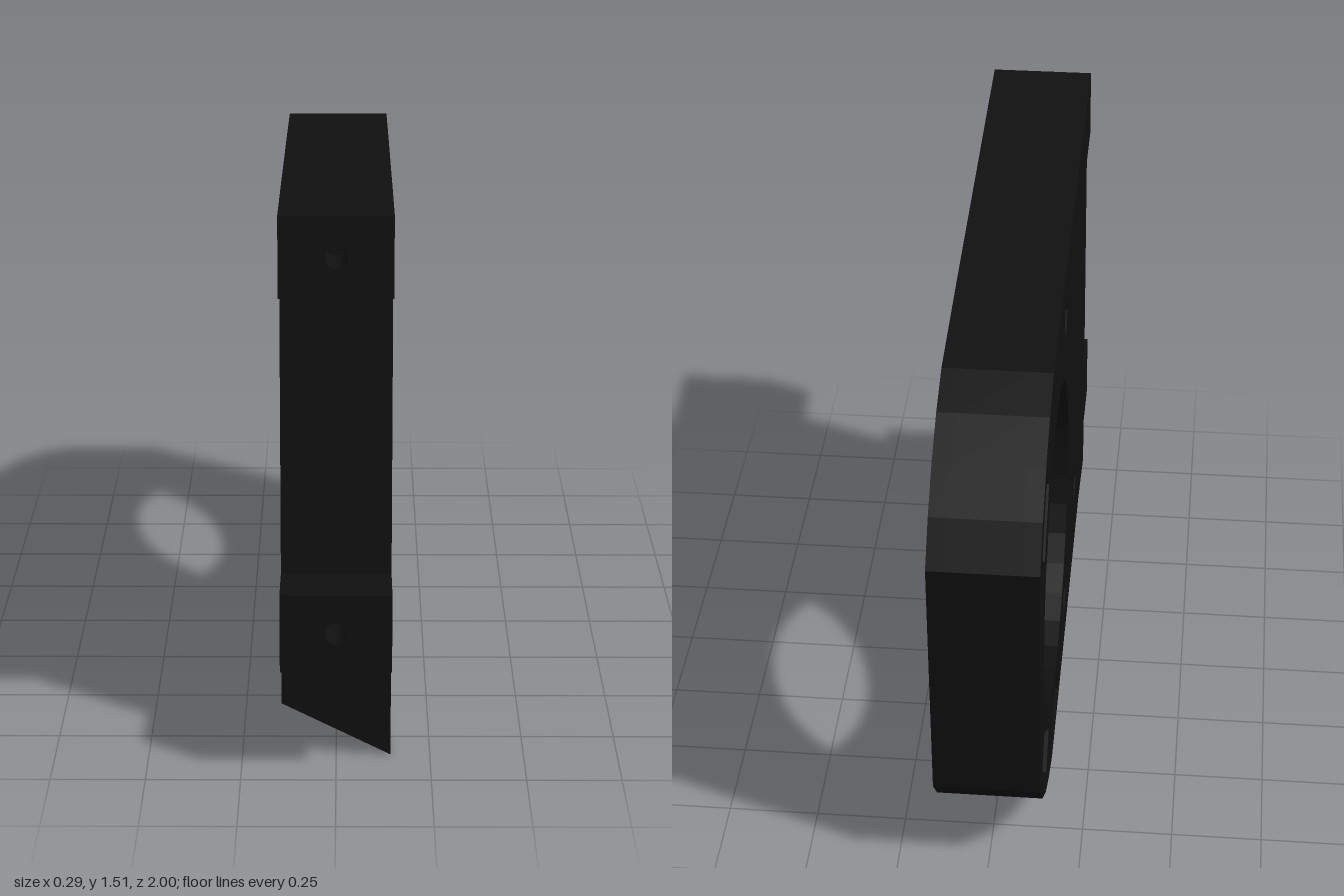
import * as THREE from 'three';

const HALF = 0.145; // half thickness
const TILT = -0.07; // lean of the front tabs

// Side outline as [z, y]
const outline = [
  [0.855, 0.003], [0.435, 0.055], [-0.24, 0.003], [-0.5, 0.045], [-0.62, 0.075], [-0.74, 0.125],
  [-0.86, 0.21], [-0.945, 0.31], [-1.0, 1.08], [-0.92, 1.19], [-0.82, 1.285], [-0.7, 1.36],
  [-0.57, 1.41], [-0.2, 1.44], [0.755, 1.504], [0.825, 0.51], [0.84, 0.305],
];
// The first three corners rise to these on the -x side, slanting the underside
const raised = [[0.848, 0.15], [0.63, 0.165], [-0.25, 0.07]];

// Rectangular slots through the plate
const slots = [
  [[-0.71, 1.16], [-0.8, 1.235], [-0.925, 1.075], [-0.84, 1.005]],
  [[-0.65, 0.28], [-0.805, 0.4], [-0.88, 0.31], [-0.725, 0.185]],
  [[-0.27, 0.22], [-0.475, 0.21], [-0.47, 0.09], [-0.265, 0.105]],
];
const bolts = [[-0.11, 1.28], [0.39, 0.365], [-0.04, 0.255]];

const polygon = (pts) => pts.map(([z, y]) => new THREE.Vector2(-z, y));

// Regular polygon hole around a [z, y] centre
function round([z, y], r, sides) {
  const pts = [];
  for (let i = 0; i < sides; i++) {
    const a = (i / sides) * Math.PI * 2;
    pts.push([z + r * Math.cos(a), y + r * Math.sin(a)]);
  }
  return pts;
}

// One slice of the plate between two x positions
function plateLayer(x0, x1, holes) {
  const shape = new THREE.Shape(polygon(outline));
  for (const h of [...slots, ...holes]) shape.holes.push(new THREE.Path(polygon(h)));
  const geo = new THREE.ExtrudeGeometry(shape, { depth: x1 - x0, bevelEnabled: false });
  geo.rotateY(Math.PI / 2).translate(x0, 0, 0);
  const p = geo.attributes.position;
  for (let i = 0; i < p.count; i++) {
    const t = (HALF - p.getX(i)) / (2 * HALF);
    raised.forEach(([rz, ry], k) => {
      const [z, y] = outline[k];
      if (Math.hypot(p.getZ(i) - z, p.getY(i) - y) < 1e-4) {
        p.setXYZ(i, p.getX(i), y + (ry - y) * t, z + (rz - z) * t);
      }
    });
  }
  geo.computeVertexNormals();
  return geo;
}

// Front tab with a round screw hole
function tabGeometry() {
  const h = 0.211;
  const shape = new THREE.Shape([
    new THREE.Vector2(-HALF, 0), new THREE.Vector2(HALF, 0),
    new THREE.Vector2(HALF, h), new THREE.Vector2(-HALF, h),
  ]);
  const hole = new THREE.Path();
  hole.absarc(0, h / 2, 0.03, 0, Math.PI * 2, true);
  shape.holes.push(hole);
  return new THREE.ExtrudeGeometry(shape, { depth: 0.163, bevelEnabled: false, curveSegments: 10 });
}

export function createModel() {
  const group = new THREE.Group();
  const black = new THREE.MeshStandardMaterial({ color: 0x101010 });
  black.name = 'matteBlack';

  const add = (name, geo) => {
    const mesh = new THREE.Mesh(geo, black);
    mesh.name = name;
    group.add(mesh);
    return mesh;
  };

  const bore = round([-0.39, 0.735], 0.365, 32);
  const screwHoles = bolts.map((b) => round(b, 0.03, 16));

  // Recessed side: counterbore, nut pockets and a small pilot hole
  add('recessedSide', plateLayer(-HALF, -0.095, [
    round([-0.39, 0.735], 0.45, 32),
    ...bolts.map((b) => round(b, 0.062, 6)),
    round([0.62, 1.01], 0.015, 8),
  ]));
  add('plateCore', plateLayer(-0.095, 0.095, [bore, ...screwHoles]));
  // Plain side with one shallow round hole near the rear edge
  add('plainSide', plateLayer(0.095, HALF, [bore, ...screwHoles, round([-0.87, 0.93], 0.025, 12)]));

  // Two mounting tabs on the front edge
  for (const [name, y, z] of [['upperTab', 1.292, 0.768], ['lowerTab', 0.303, 0.838]]) {
    const tab = add(name, tabGeometry());
    tab.position.set(0, y, z);
    tab.rotation.x = TILT;
  }
  return group;
}
